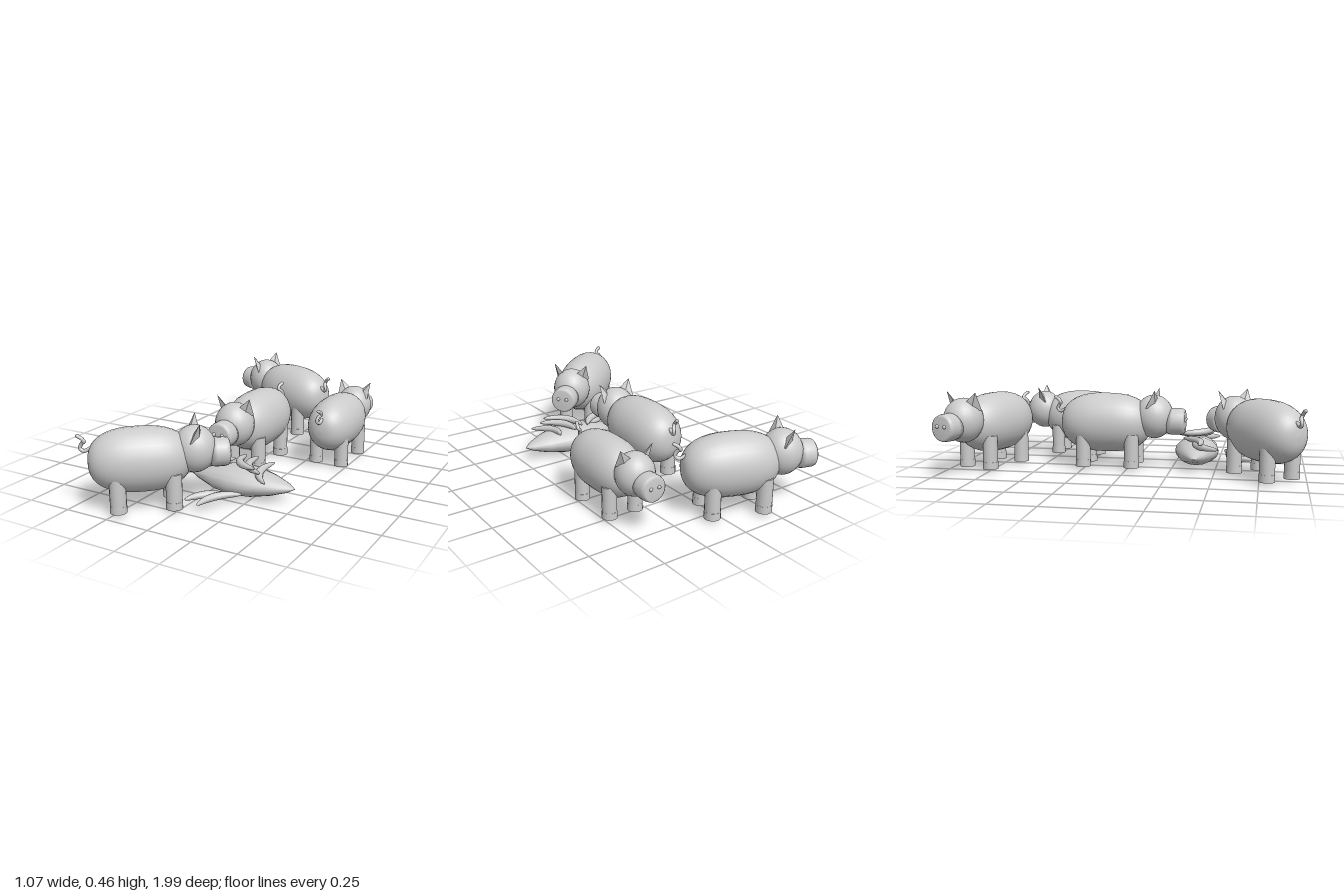
import * as THREE from 'three';

const grey = new THREE.MeshStandardMaterial({ color: 0xcccccc });
grey.name = 'light grey';

function add(parent, name, geometry, x = 0, y = 0, z = 0) {
  const mesh = new THREE.Mesh(geometry, grey);
  mesh.name = name;
  mesh.position.set(x, y, z);
  parent.add(mesh);
  return mesh;
}

// Barrel body: a superellipse profile turned about the long axis
function bodyGeometry() {
  const points = [];
  for (let i = 0; i <= 20; i++) {
    const a = -Math.PI / 2 + (Math.PI * i) / 20;
    const e = 2 / 2.5;
    const r = Math.pow(Math.max(Math.cos(a), 0), e);
    const h = Math.sign(a) * Math.pow(Math.abs(Math.sin(a)), e);
    points.push(new THREE.Vector2(i % 20 ? r : 0, h));
  }
  return new THREE.LatheGeometry(points, 28).rotateX(Math.PI / 2).scale(0.15, 0.17, 0.26);
}

// Snout: short cylinder with rounded rims
function snoutGeometry() {
  const points = [[0, -0.05], [0.072, -0.05], [0.077, -0.02], [0.076, 0.025], [0.072, 0.042], [0.062, 0.05], [0, 0.05]]
    .map(([r, h]) => new THREE.Vector2(r, h));
  return new THREE.LatheGeometry(points, 20).rotateX(Math.PI / 2);
}

function createPig(name, x, z, heading, size) {
  const pig = new THREE.Group();
  pig.name = name;
  add(pig, 'body', bodyGeometry(), 0, 0.262, -0.13);
  add(pig, 'head', new THREE.SphereGeometry(0.115, 24, 16).scale(0.97, 1.08, 0.97), 0, 0.3, 0.148);
  add(pig, 'snout', snoutGeometry(), 0, 0.275, 0.277);

  for (const side of [-1, 1]) {
    add(pig, 'nostril', new THREE.SphereGeometry(0.011, 10, 8), side * 0.026, 0.285, 0.326);

    // Pointed ears, leaning out and forward
    const ear = add(pig, 'ear', new THREE.ConeGeometry(0.055, 0.1, 4, 1).toNonIndexed().scale(1, 1, 0.4),
      side * 0.082, 0.415, 0.155);
    ear.geometry.computeVertexNormals();
    ear.rotation.set(0.45, side * 0.5, -side * 0.5);

    // Legs with slightly wider hooves
    for (const legZ of [0.03, -0.25]) {
      add(pig, 'leg', new THREE.CylinderGeometry(0.042, 0.042, 0.15, 18), side * 0.085, 0.13, legZ);
      add(pig, 'hoof', new THREE.CylinderGeometry(0.043, 0.044, 0.04, 18), side * 0.085, 0.036, legZ);
    }
  }

  // Curly tail
  const curl = new THREE.CatmullRomCurve3([
    [0, 0.335, -0.37], [0.004, 0.32, -0.405], [0.012, 0.335, -0.422], [0.006, 0.362, -0.41],
    [-0.008, 0.372, -0.4], [-0.008, 0.39, -0.412], [0, 0.402, -0.432],
  ].map((p) => new THREE.Vector3(...p)));
  add(pig, 'tail', new THREE.TubeGeometry(curl, 24, 0.01, 8));
  add(pig, 'tailTip', new THREE.SphereGeometry(0.01, 8, 6), 0, 0.402, -0.432);

  pig.position.set(x, 0, z);
  pig.rotation.y = heading;
  pig.scale.setScalar(size);
  return pig;
}

// Crescent fruit: a stretched sphere bent sideways
function crescentGeometry(bend) {
  const geometry = new THREE.SphereGeometry(1, 12, 16).rotateZ(Math.PI / 2).scale(0.125, 0.02, 0.022);
  const p = geometry.attributes.position;
  for (let i = 0; i < p.count; i++) {
    p.setZ(i, p.getZ(i) + bend * (p.getX(i) ** 2 - 0.005));
  }
  geometry.computeVertexNormals();
  return geometry;
}

function createFood() {
  const food = new THREE.Group();
  food.name = 'foodPile';

  // Large root with pointed ends
  const profile = [[0, -0.32], [0.4, -0.24], [0.8, -0.13], [1, -0.02], [0.93, 0.08], [0.64, 0.19], [0.28, 0.28], [0, 0.32]]
    .map(([r, h]) => new THREE.Vector2(r, h));
  const root = add(food, 'largeRoot',
    new THREE.LatheGeometry(profile, 16).rotateZ(-Math.PI / 2).scale(1, 0.082, 0.128), 0.16, 0.083, 0.38);
  root.rotation.y = 0.03;

  // Crescents: x, y, z, turn, tilt, bend
  const crescents = [
    [-0.03, 0.14, 0.42, 0.6, 0.05, 3.5],
    [-0.01, 0.165, 0.39, 0.45, 0, -3],
    [0.19, 0.19, 0.4, -0.9, 0.05, -3.5],
    [0.23, 0.175, 0.38, -1.05, 0, -3.5],
    [0.3, 0.15, 0.39, -1.3, -0.1, -3.5],
    [0.16, 0.065, 0.62, 0.95, 0.05, 3],
    [0.1, 0.06, 0.61, 0.7, 0, 3],
  ];
  for (const [x, y, z, turn, tilt, bend] of crescents) {
    const fruit = add(food, 'crescentFruit', crescentGeometry(bend), x, y, z);
    fruit.rotation.set(0, turn, tilt);
  }
  return food;
}

export function createModel() {
  const model = new THREE.Group();
  model.name = 'feedingPigs';
  model.add(
    createPig('middlePig', -0.01, 0, 0, 1),
    createPig('smallPig', 0.395, -0.48, Math.PI, 0.925),
    createPig('backPig', -0.21, -0.815, Math.atan2(-0.94, -0.34), 1),
    createPig('frontPig', -0.095, 0.696, Math.atan2(0.766, -0.643), 1),
    createFood(),
  );
  return model;
}
